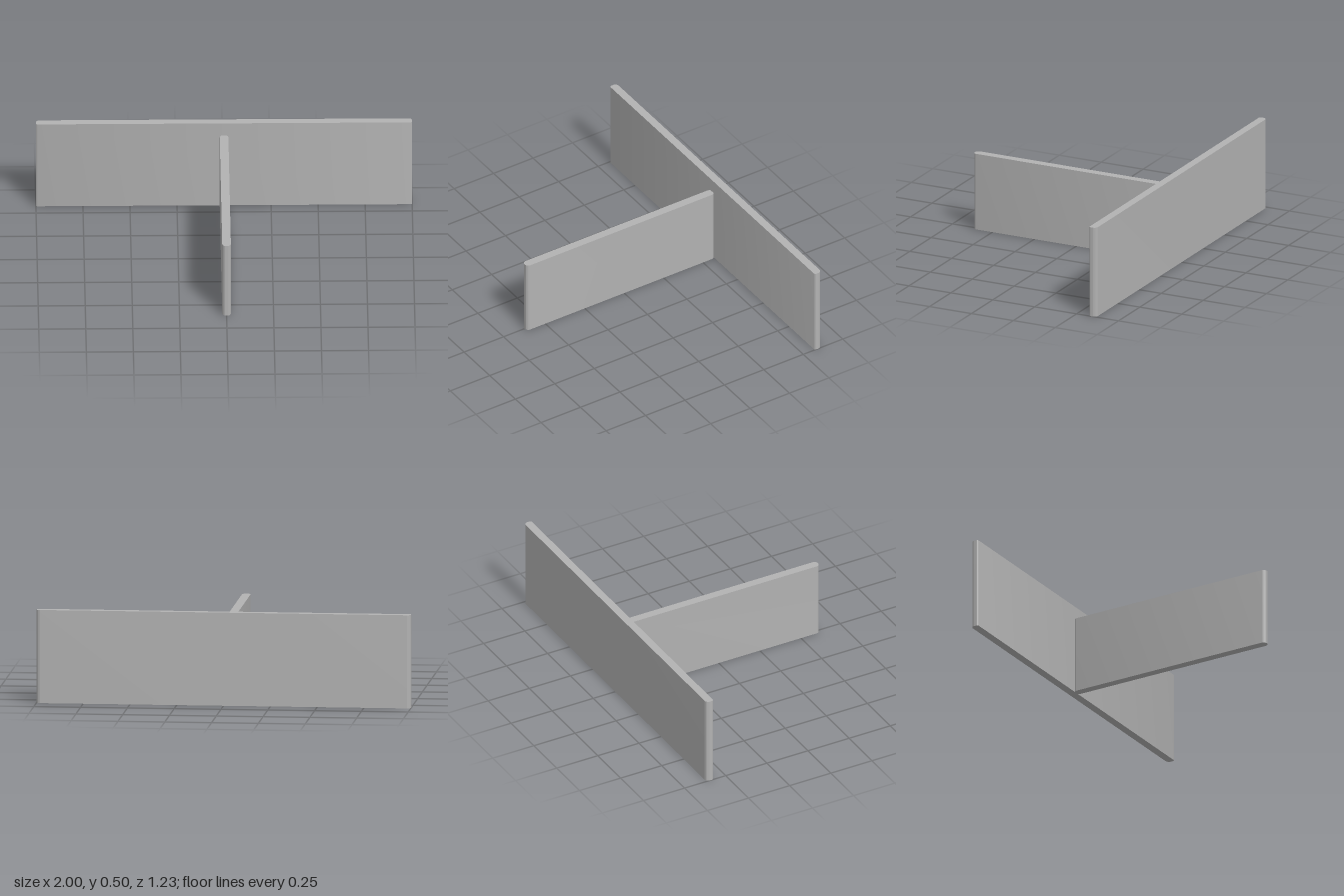
import * as THREE from 'three';
import { toCreasedNormals } from 'three/addons/utils/BufferGeometryUtils.js';

// Upright board with rounded vertical edges, seen in plan from x0..x1 and z0..z1
function board(name, x0, x1, z0, z1, height, backRadius, frontRadius, material) {
  const s = new THREE.Shape();
  const bottom = -z1, top = -z0; // plan drawn with y = -z
  const f = frontRadius, b = backRadius;
  s.moveTo(x0 + f, bottom);
  s.lineTo(x1 - f, bottom);
  s.absarc(x1 - f, bottom + f, f, -Math.PI / 2, 0);
  s.lineTo(x1, top - b);
  s.absarc(x1 - b, top - b, b, 0, Math.PI / 2);
  s.lineTo(x0 + b, top);
  s.absarc(x0 + b, top - b, b, Math.PI / 2, Math.PI);
  s.lineTo(x0, bottom + f);
  s.absarc(x0 + f, bottom + f, f, Math.PI, Math.PI * 1.5);
  const geometry = new THREE.ExtrudeGeometry(s, { depth: height, bevelEnabled: false, curveSegments: 8 });
  geometry.rotateX(-Math.PI / 2);
  const mesh = new THREE.Mesh(toCreasedNormals(geometry, 0.6), material);
  mesh.name = name;
  return mesh;
}

export function createModel() {
  const group = new THREE.Group();
  group.name = 'dividerPanels';
  const grey = new THREE.MeshStandardMaterial({ color: 0xb2b2b2 });
  grey.name = 'panel grey';

  // Long panel across the back
  group.add(board('backPanel', -1, 1, -0.617, -0.573, 0.5, 0.021, 0.01, grey));
  // Lower divider running forward from its middle
  group.add(board('centreDivider', -0.023, 0.023, -0.578, 0.617, 0.425, 0.0225, 0.0225, grey));
  return group;
}
